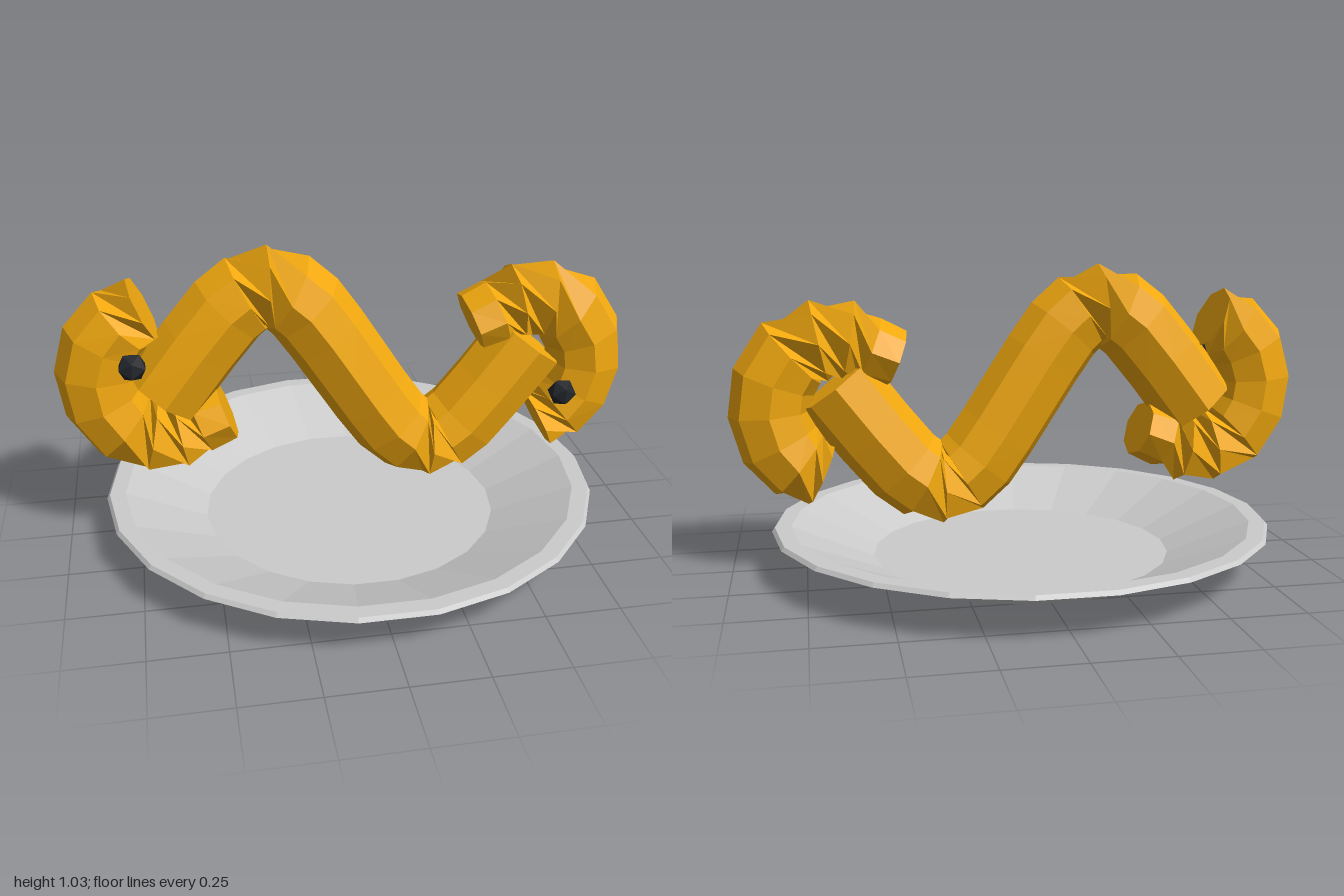
import * as THREE from 'three';

const SIDES = 8;
const noodleMat = new THREE.MeshStandardMaterial({ color: 0xf2a90f, flatShading: true });
const eyeMat = new THREE.MeshStandardMaterial({ color: 0x22262b, flatShading: true });
const plateMat = new THREE.MeshStandardMaterial({ color: 0xcccccc, flatShading: true, side: THREE.DoubleSide });

// Capped eight-sided sweep along points [x, y, in-plane radius].
// twists holds the indices of the segments that are wrung by one side.
function sweep(points, depth, twists) {
  const positions = [];
  const index = [];
  let angle = 0;
  points.forEach(([x, y, r], i) => {
    const a = points[Math.max(i - 1, 0)];
    const b = points[Math.min(i + 1, points.length - 1)];
    const t = new THREE.Vector2(b[0] - a[0], b[1] - a[1]).normalize();
    if (twists.includes(i - 1)) angle += (Math.PI * 2) / SIDES;
    for (let j = 0; j < SIDES; j++) {
      const p = angle + (j / SIDES) * Math.PI * 2;
      const n = Math.cos(p) * r;
      positions.push(x - t.y * n, y + t.x * n, Math.sin(p) * depth);
    }
  });
  const last = points.length - 1;
  for (let i = 0; i < last; i++) {
    for (let j = 0; j < SIDES; j++) {
      const k = (j + 1) % SIDES;
      const a = i * SIDES + j, b = i * SIDES + k;
      index.push(a, b, b + SIDES, a, b + SIDES, a + SIDES);
    }
  }
  // end caps
  const end = last * SIDES;
  for (let j = 1; j < SIDES - 1; j++) {
    index.push(0, j + 1, j, end, end + j, end + j + 1);
  }
  const geo = new THREE.BufferGeometry();
  geo.setAttribute('position', new THREE.Float32BufferAttribute(positions, 3));
  geo.setIndex(index);
  const flat = geo.toNonIndexed();
  flat.computeVertexNormals();
  return flat;
}

function part(name, geometry, material) {
  const mesh = new THREE.Mesh(geometry, material);
  mesh.name = name;
  return mesh;
}

export function createModel() {
  const model = new THREE.Group();
  model.name = 'noodleOnPlate';
  const midY = 0.585;

  // Shallow plate: underside, rim, inner slope and floor
  const profile = [[0, 0], [0.52, 0], [0.865, 0.135], [0.855, 0.148], [0.8, 0.148], [0.52, 0.03], [0, 0.03]]
    .map(([x, y]) => new THREE.Vector2(x, y));
  model.add(part('plate', new THREE.LatheGeometry(profile, 22, Math.PI / 2), plateMat));

  // Wavy middle: half of the path, turned half a circle for the rest
  const R = 0.145;
  const half = [[-0.64, 0.53], [-0.51, 0.7], [-0.41, 0.82], [-0.345, 0.87], [-0.28, 0.89],
    [-0.21, 0.865], [-0.15, 0.81], [-0.08, 0.71]];
  const path = [
    ...half.map(([x, y]) => [x, y, R]),
    [0, midY, R],
    ...half.map(([x, y]) => [-x, 2 * midY - y, R]).reverse(),
  ];
  model.add(part('wavyBody', sweep(path, R, [3, 4, 11, 12]), noodleMat));

  // Curled end with its eye, built about the centre of the wave
  const curl = [[0.69, 0.33, 0.115], [0.765, 0.365, 0.13], [0.825, 0.44, 0.14], [0.855, 0.545, 0.14],
    [0.84, 0.65, 0.14], [0.78, 0.745, 0.14], [0.69, 0.785, 0.14], [0.59, 0.785, 0.135],
    [0.52, 0.755, 0.11], [0.43, 0.72, 0.1]]
    .map(([x, y, r]) => [x, y - midY, r]);
  const curlGeo = sweep(curl, 0.135, [0, 5, 6, 7]);
  const eyeGeo = new THREE.IcosahedronGeometry(0.05, 0);
  for (const [side, turn] of [['left', 0], ['right', Math.PI]]) {
    const end = new THREE.Group();
    end.name = side + 'End';
    end.position.y = midY;
    end.rotation.z = turn;
    const eye = part(side + 'Eye', eyeGeo, eyeMat);
    eye.position.set(0.735, 0.47 - midY + 0.01, 0.135);
    end.add(part(side + 'Curl', curlGeo, noodleMat), eye);
    model.add(end);
  }
  return model;
}
